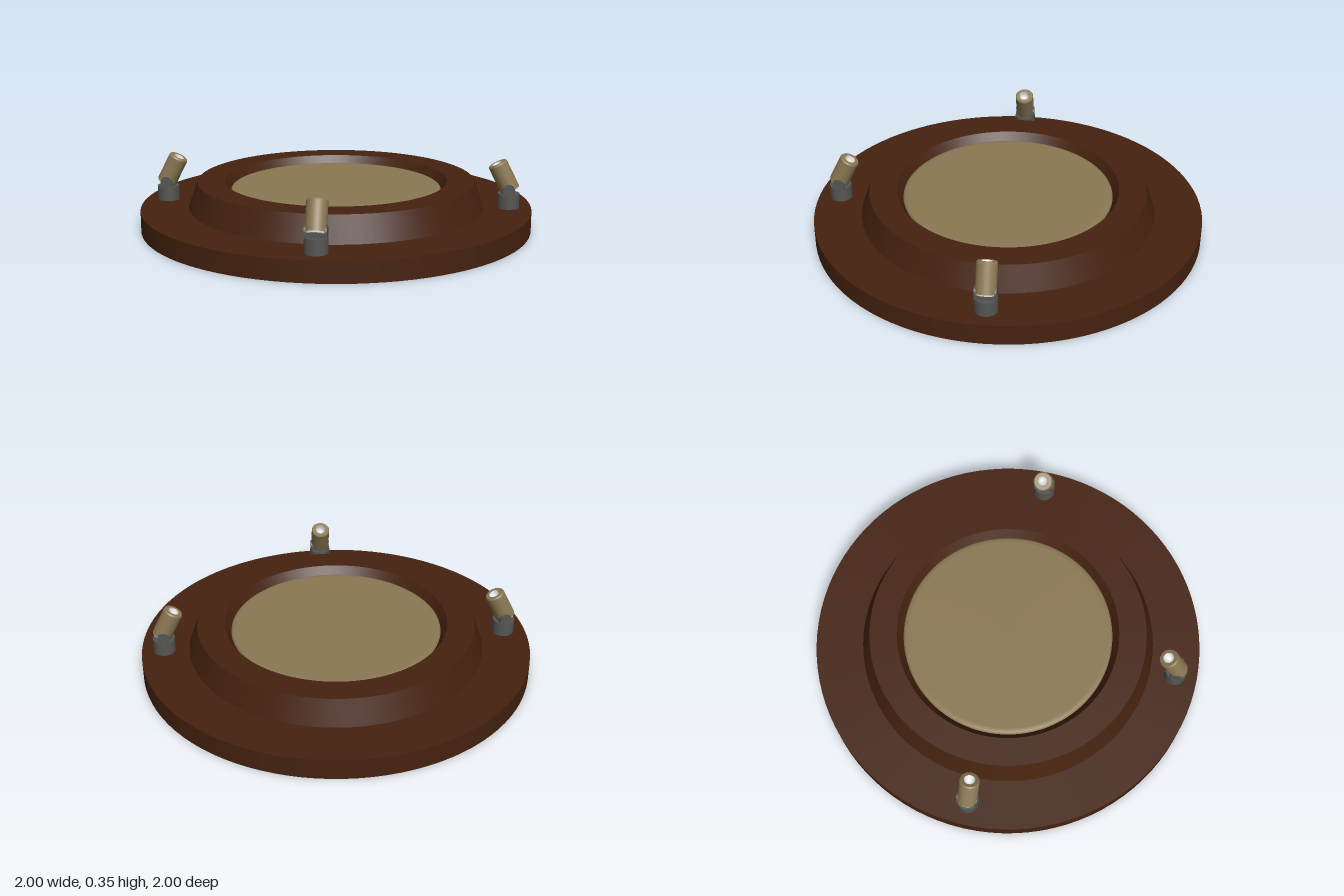
import * as THREE from 'three';
import { mergeGeometries } from 'three/addons/utils/BufferGeometryUtils.js';

function material(name, color) {
  const m = new THREE.MeshStandardMaterial({ color });
  m.name = name;
  return m;
}

// Revolves a profile with a sharp edge at every point; upward on the outside faces out.
function sharpLathe(profile, segments) {
  const bands = [];
  for (let i = 0; i < profile.length - 1; i++) {
    const pair = [profile[i], profile[i + 1]].map(([r, y]) => new THREE.Vector2(r, y));
    bands.push(new THREE.LatheGeometry(pair, segments));
  }
  return mergeGeometries(bands);
}

function part(name, geometry, mat, parent) {
  const mesh = new THREE.Mesh(geometry, mat);
  mesh.name = name;
  parent.add(mesh);
  return mesh;
}

export function createModel() {
  const model = new THREE.Group();
  model.name = 'spotlitDisplayBase';
  const brown = material('dark brown', 0x45220f);
  const tan = material('tan', 0x8b7853);
  const grey = material('dark grey', 0x555654);
  const white = material('white', 0xf4f4f2);

  // Base disc
  part('baseDisc', new THREE.CylinderGeometry(1, 1, 0.105, 96), brown, model).position.y = 0.0525;

  // Raised ring with sloping outer and inner walls
  part('raisedRing', sharpLathe([[0.757, 0.105], [0.71, 0.235], [0.57, 0.235], [0.538, 0.185]], 96), brown, model);

  // Recessed panel with a softly rounded edge
  const panel = [[0.54, 0.18], [0.538, 0.192], [0.53, 0.198], [0.51, 0.2], [0, 0.2]];
  part('recessedPanel', new THREE.LatheGeometry(panel.map(([r, y]) => new THREE.Vector2(r, y)), 96), tan, model);

  // Hinge outline: straight sides with a round top
  const hingeShape = new THREE.Shape();
  hingeShape.moveTo(-0.03, -0.03);
  hingeShape.lineTo(0.03, -0.03);
  hingeShape.lineTo(0.03, 0);
  hingeShape.absarc(0, 0, 0.03, 0, Math.PI, false);
  const hingeGeometry = new THREE.ExtrudeGeometry(hingeShape, { depth: 0.104, bevelEnabled: false, curveSegments: 12 });
  hingeGeometry.translate(0, 0, -0.052).rotateY(Math.PI / 2);

  // Lamp barrel, reflector bowl and white rear cap, along their own y axis
  const barrelGeometry = sharpLathe([[0.05, 0], [0.05, 0.143], [0.045, 0.15], [0.028, 0.15]], 28);
  const bowlGeometry = new THREE.LatheGeometry(
    [[0.028, 0.15], [0.026, 0.13], [0.018, 0.115], [0, 0.108]].map(([r, y]) => new THREE.Vector2(r, y)), 28);
  const capGeometry = new THREE.CylinderGeometry(0.05, 0.046, 0.008, 28);

  // Lamps on the two sides and the front, each leaning inward
  const lamps = [['left', Math.PI / 2], ['right', -Math.PI / 2], ['front', 0]];
  for (const [side, angle] of lamps) {
    const lamp = new THREE.Group();
    lamp.name = side + 'Lamp';
    lamp.rotation.y = angle;
    model.add(lamp);

    part('lampBase', new THREE.CylinderGeometry(0.056, 0.056, 0.075, 28), grey, lamp).position.set(0, 0.1425, 0.883);
    part('lampHinge', hingeGeometry, grey, lamp).position.set(0, 0.203, 0.883);

    const head = new THREE.Group();
    head.name = 'lampHead';
    head.position.set(0, 0.2, 0.89);
    head.rotation.x = -0.47;
    lamp.add(head);
    part('lampBarrel', barrelGeometry, tan, head);
    part('lampReflector', bowlGeometry, white, head);
    part('lampRearCap', capGeometry, white, head).position.y = -0.003;
  }
  return model;
}
